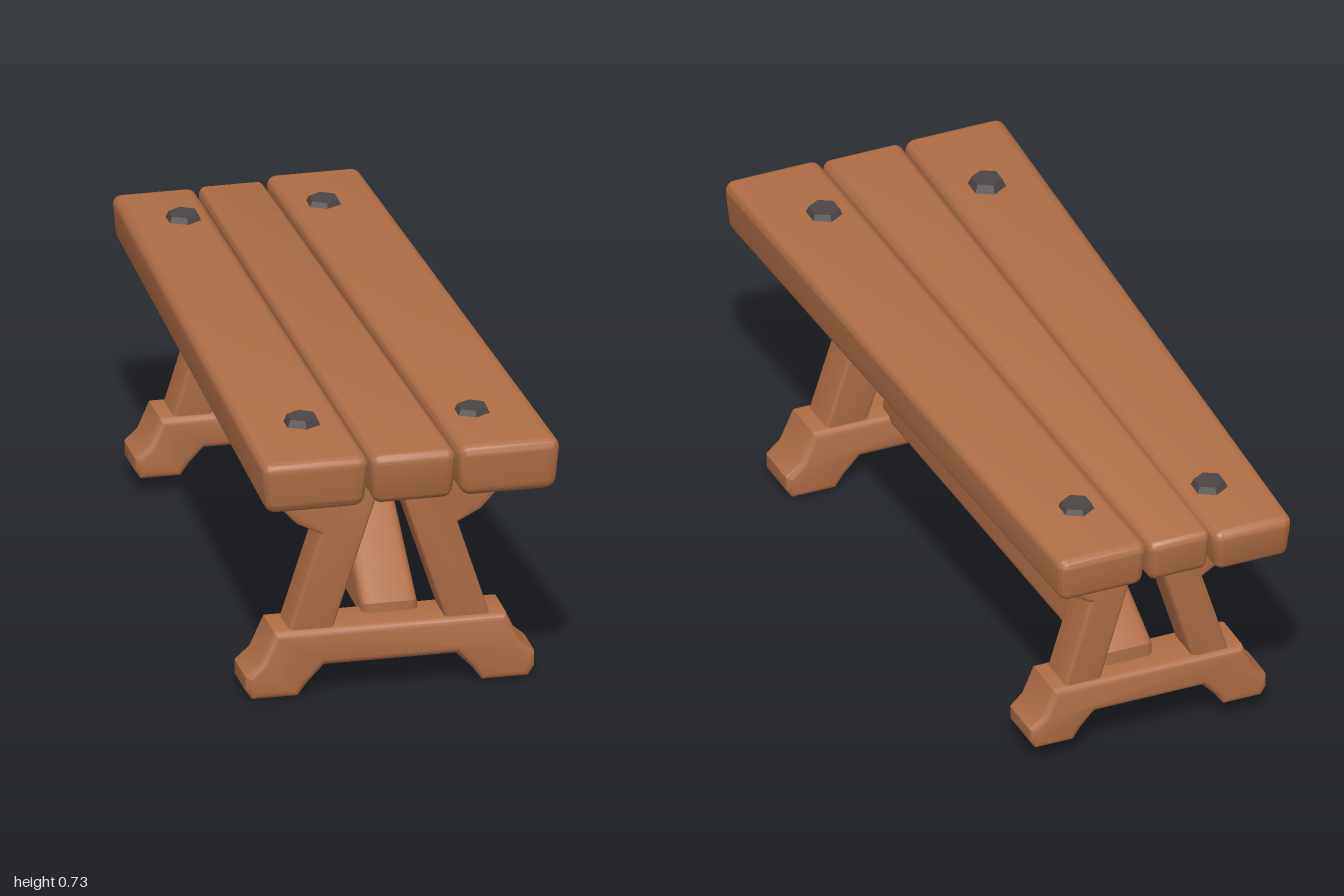
import * as THREE from 'three';
import { mergeVertices, toCreasedNormals } from 'three/addons/utils/BufferGeometryUtils.js';
import { RoundedBoxGeometry } from 'three/addons/geometries/RoundedBoxGeometry.js';

const wood = new THREE.MeshStandardMaterial({ color: 0xaf6e45 });
wood.name = 'wood';
const iron = new THREE.MeshStandardMaterial({ color: 0x4c4645 });
iron.name = 'iron';

const lerp = THREE.MathUtils.lerp;

function part(name, geometry, material, x = 0, y = 0, z = 0) {
  const mesh = new THREE.Mesh(geometry, material);
  mesh.name = name;
  mesh.position.set(x, y, z);
  return mesh;
}

// Outline with softened edges, extruded along z and centred on it
function slab(points, depth, bevel) {
  const shape = new THREE.Shape(points.map(([x, y]) => new THREE.Vector2(x, y)));
  const geo = new THREE.ExtrudeGeometry(shape, {
    depth: depth - 2 * bevel,
    bevelEnabled: true,
    bevelThickness: bevel,
    bevelSize: bevel,
    bevelOffset: -bevel,
    bevelSegments: 3,
  });
  geo.translate(0, 0, bevel - depth / 2);
  return toCreasedNormals(geo, 0.6);
}

// Rounded plank that tapers from its front section to its back section
// Sections are [left, right, bottom, top]
function plank(front, back, zFront, zBack) {
  const w = 0.23, h = 0.13, len = zFront - zBack;
  let geo = new RoundedBoxGeometry(w, h, len, 3, 0.026);
  geo.deleteAttribute('uv');
  geo.deleteAttribute('normal');
  geo = mergeVertices(geo, 1e-4);
  const p = geo.attributes.position;
  for (let i = 0; i < p.count; i++) {
    const t = 0.5 - p.getZ(i) / len;
    const [l, r, b, top] = front.map((v, k) => lerp(v, back[k], t));
    const v = p.getY(i) / h + 0.5;
    const u = (p.getX(i) / w) * lerp(0.92, 1, v) + 0.5;
    const endInset = lerp(0.985, 1, v);
    p.setXYZ(i, lerp(l, r, u), lerp(b, top, v), (zFront + zBack) / 2 + p.getZ(i) * endInset);
  }
  return toCreasedNormals(geo, 0.6);
}

// A-shaped trestle: two leaning bracketed legs on a footed beam
function trestle(name, cx, z, sx, yFoot, yBeam) {
  const group = new THREE.Group();
  group.name = name;
  group.position.set(cx, 0, z);

  const half = [[0.165, 0.44], [0.205, 0.2], [0.23, 0], [0.345, 0], [0.362, 0.15],
    [0.362, 0.36], [0.325, 0.55], [0.29, 1]];
  const height = yBeam - yFoot;
  const right = half.map(([x, y]) => [x * sx, yFoot + y * height]);
  const left = right.map(([x, y]) => [-x, y]).reverse();
  group.add(part('footBeam', slab([...right, ...left], 0.142, 0.018), wood));

  for (const side of [-1, 1]) {
    const leg = [[0.148, yBeam - 0.03], [0.26, yBeam - 0.03], [0.172, 0.42], [0.23, 0.45],
      [0.285, 0.51], [0.305, 0.6], [0, 0.6]];
    const outline = leg.map(([x, y]) => [side * x * sx, y]);
    group.add(part(side < 0 ? 'rightLeg' : 'leftLeg', slab(outline, 0.112, 0.012), wood));
    // Stud under each foot
    group.add(part('footStud', new THREE.CylinderGeometry(0.026, 0.026, 0.012, 6), iron,
      side * 0.29 * sx, yFoot + 0.003, 0));
  }
  return group;
}

export function createModel() {
  const model = new THREE.Group();
  model.name = 'bench';
  const bench = new THREE.Group();
  bench.name = 'turnedBench';
  bench.rotation.y = -0.26;
  model.add(bench);

  // Seat planks
  const planks = [
    ['rightPlank', [-0.346, -0.076, 0.58, 0.716], [-0.288, -0.078, 0.556, 0.67], 0.928, -0.968],
    ['middlePlank', [-0.074, 0.142, 0.582, 0.714], [-0.076, 0.09, 0.562, 0.678], 0.928, -0.956],
    ['leftPlank', [0.144, 0.402, 0.583, 0.72], [0.094, 0.332, 0.566, 0.688], 0.93, -0.962],
  ];
  for (const [name, front, back, z0, z1] of planks) {
    bench.add(part(name, plank(front, back, z0, z1), wood));
  }

  // Hexagonal bolt heads
  const bolt = new THREE.CylinderGeometry(0.038, 0.052, 0.03, 6).toNonIndexed();
  bolt.computeVertexNormals();
  for (const [x, y, z] of [[-0.187, 0.714, 0.66], [0.231, 0.716, 0.694],
    [-0.154, 0.676, -0.756], [0.192, 0.69, -0.739]]) {
    bench.add(part('seatBolt', bolt, iron, x, y, z));
  }

  // Trestles, the rear one smaller
  bench.add(trestle('frontTrestle', 0.027, 0.628, 1, 0.004, 0.176));
  bench.add(trestle('backTrestle', 0.014, -0.708, 0.87, 0.045, 0.2));

  // Thick trapezoid board running between the trestles
  const board = slab([[0.62, 0.145], [0.62, 0.2], [0.13, 0.54], [-0.17, 0.54],
    [-0.72, 0.235], [-0.72, 0.185]], 0.14, 0.022);
  board.rotateY(-Math.PI / 2);
  bench.add(part('stretcherBoard', board, wood, 0.045, 0, 0));

  return model;
}
